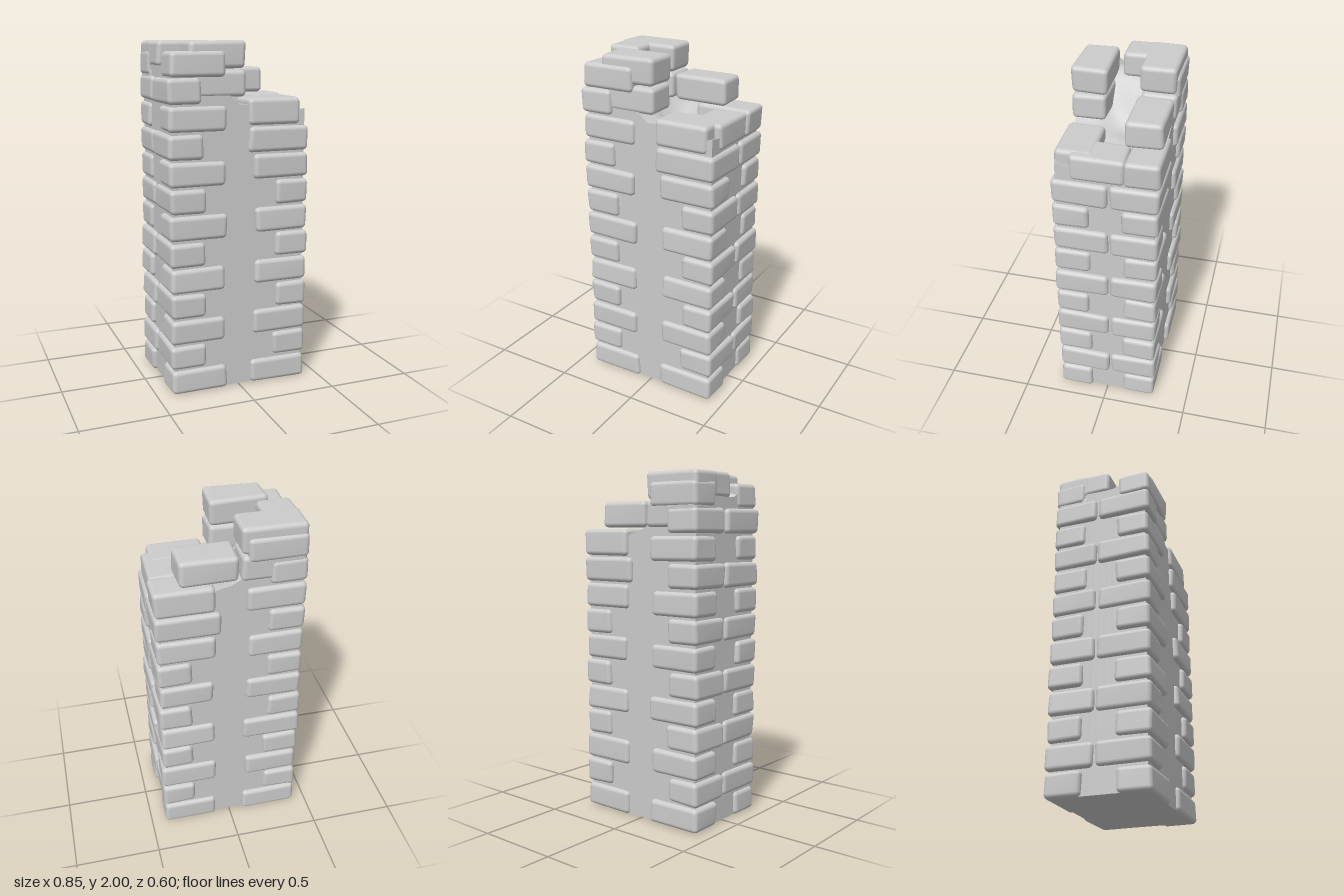
import * as THREE from 'three';
import { RoundedBoxGeometry } from 'three/addons/geometries/RoundedBoxGeometry.js';
import { mergeVertices } from 'three/addons/utils/BufferGeometryUtils.js';

const material = new THREE.MeshStandardMaterial({ color: 0xcccccc, roughness: 0.9 });

export function createModel() {
  const model = new THREE.Group();
  model.name = 'ruinedPillar';

  let seed = 11;
  const jitter = (amount) => {
    seed = (seed * 16807) % 2147483647;
    return (seed / 2147483647 - 0.5) * 2 * amount;
  };

  // Worn stone filling the given bounds, its eight corners pulled slightly inwards
  function addStone(name, [x0, x1], [y0, y1], [z0, z1]) {
    const size = [x1 - x0, y1 - y0, z1 - z0];
    let geometry = new RoundedBoxGeometry(...size, 4, 0.027);
    geometry.deleteAttribute('uv');
    geometry.deleteAttribute('normal');
    geometry = mergeVertices(geometry, 1e-4);
    const pull = Array.from({ length: 8 }, () => [0.013, 0.007, 0.011].map((a) => Math.abs(jitter(a))));
    const p = geometry.attributes.position;
    for (let i = 0; i < p.count; i++) {
      const v = [p.getX(i), p.getY(i), p.getZ(i)];
      const t = v.map((c, k) => c / size[k] + 0.5);
      const moved = v.slice();
      for (let c = 0; c < 8; c++) {
        const bits = [c & 1, (c >> 1) & 1, (c >> 2) & 1];
        const w = bits.reduce((a, b, k) => a * (b ? t[k] : 1 - t[k]), 1);
        bits.forEach((b, k) => { moved[k] += w * pull[c][k] * (b ? -1 : 1); });
      }
      p.setXYZ(i, ...moved);
    }
    geometry.computeVertexNormals();
    const stone = new THREE.Mesh(geometry, material);
    stone.position.set((x0 + x1) / 2, (y0 + y1) / 2, (z0 + z1) / 2);
    stone.name = name;
    model.add(stone);
  }

  // Mortar core with a broken top that climbs towards the taller side
  const coreGeometry = new THREE.BoxGeometry(0.79, 1.62, 0.54, 20, 1, 14);
  coreGeometry.translate(0, 0.82, 0);
  const cp = coreGeometry.attributes.position;
  for (let i = 0; i < cp.count; i++) {
    if (cp.getY(i) < 1) continue;
    const x = cp.getX(i), z = cp.getZ(i);
    const rise = 0.26 * THREE.MathUtils.smoothstep(-x, -0.02, 0.28);
    const rim = 0.05 * THREE.MathUtils.smoothstep(Math.abs(z), 0.05, 0.2);
    const rough = 0.012 * Math.sin(x * 23 + z * 17);
    cp.setY(i, 1.61 + rise + (x < 0.1 ? rim : 0) + rough);
  }
  coreGeometry.computeVertexNormals();
  const core = new THREE.Mesh(coreGeometry, material);
  core.name = 'mortarCore';
  model.add(core);

  // Bounds running from an inner edge to an outer edge on either side of zero
  const span = (side, inner, outer) => (side > 0 ? [inner, outer] : [-outer, -inner]);

  // Corner stones, alternately laid along the wide and the narrow faces
  for (const sx of [1, -1]) {
    const pitch = sx > 0 ? 0.1532 : 0.1505;
    const courses = sx > 0 ? 10 : 12;
    for (let row = 0; row < courses; row++) {
      const long = row % 2 === 0;
      for (const sz of [1, -1]) {
        const y = [row * pitch + 0.002, (row + 1) * pitch - 0.004];
        let innerX = (long ? 0.08 : 0.21) + jitter(0.012);
        if (sx > 0 && row === 9) innerX = 0.045;
        const innerZ = long ? 0.09 + jitter(0.008) : sz * -0.02;
        addStone(long ? 'longCornerStone' : 'shortCornerStone',
          span(sx, innerX, 0.424 + jitter(0.005)), y, span(sz, innerZ, 0.299 + jitter(0.003)));
      }
    }
  }

  // Last course on the lower side
  addStone('lowerRimFrontStone', [0.04, 0.37], [1.53, 1.685], [0.07, 0.29]);
  addStone('lowerRimSideStone', [0.2, 0.415], [1.53, 1.685], [-0.11, 0.2]);
  addStone('lowerRimBackStone', [0.075, 0.425], [1.53, 1.69], [-0.302, -0.1]);
  addStone('backLooseStone', [-0.045, 0.288], [1.69, 1.845], [-0.285, -0.075]);

  // Broken peak on the taller side
  addStone('peakFrontLowerStone', [-0.3, 0.04], [1.69, 1.842], [0.075, 0.28]);
  addStone('peakBackLowerStone', [-0.41, -0.05], [1.69, 1.842], [-0.29, -0.08]);
  addStone('peakFrontCornerStone', [-0.41, -0.08], [1.8, 1.945], [0.1, 0.298]);
  addStone('peakBackCornerStone', [-0.42, -0.08], [1.8, 1.945], [-0.3, -0.1]);
  addStone('peakFrontTopStone', [-0.302, 0.04], [1.843, 2], [0.07, 0.282]);
  addStone('peakBackTopStone', [-0.41, -0.045], [1.843, 2], [-0.287, -0.075]);
  addStone('peakSideTopStone', [-0.41, -0.2], [1.85, 2], [-0.2, 0.05]);

  return model;
}
